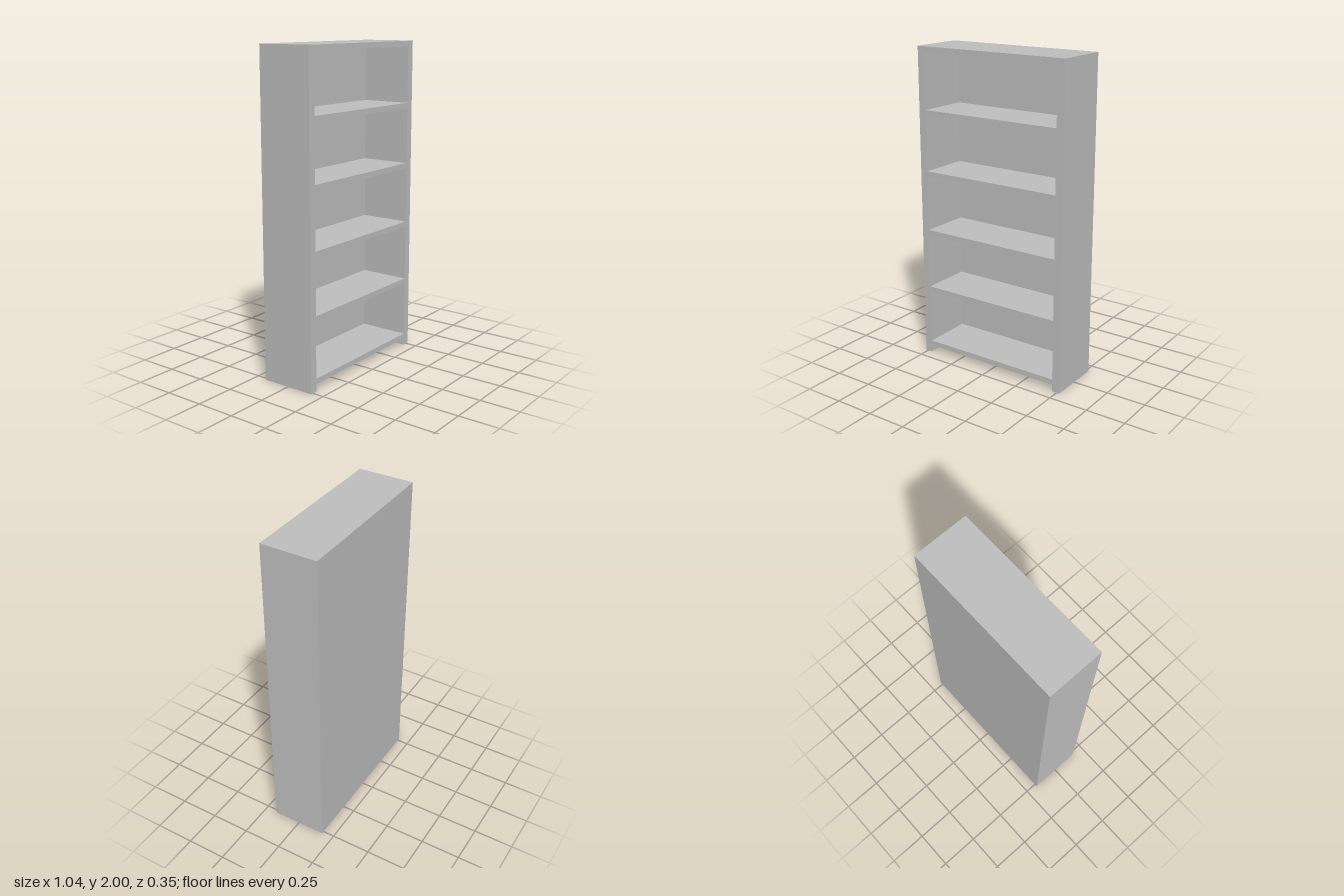
import * as THREE from 'three';

export function createModel() {
  const group = new THREE.Group();
  const paint = new THREE.MeshStandardMaterial({ color: 0xc0c0c0 });
  paint.name = 'light grey';

  const width = 1.036, height = 2, depth = 0.352;
  const side = 0.05, back = 0.028, shelf = 0.033;
  const innerWidth = width - 2 * side, innerDepth = depth - back;

  function board(name, w, h, d, x, y, z) {
    const mesh = new THREE.Mesh(new THREE.BoxGeometry(w, h, d), paint);
    mesh.name = name;
    mesh.position.set(x, y, z);
    group.add(mesh);
  }

  // Full-size back panel
  board('backPanel', width, height, back, 0, height / 2, -depth / 2 + back / 2);

  // Side panels standing in front of the back panel
  for (const [name, s] of [['leftSide', 1], ['rightSide', -1]]) {
    board(name, side, height, innerDepth, s * (width - side) / 2, height / 2, back / 2);
  }

  // Six evenly spaced shelves, the highest closing the top
  const lowest = 0.046 + shelf / 2, highest = height - shelf / 2;
  for (let i = 0; i < 6; i++) {
    const y = lowest + (highest - lowest) * i / 5;
    board(i === 5 ? 'topBoard' : `shelf${i + 1}`, innerWidth, shelf, innerDepth, 0, y, back / 2);
  }
  return group;
}
